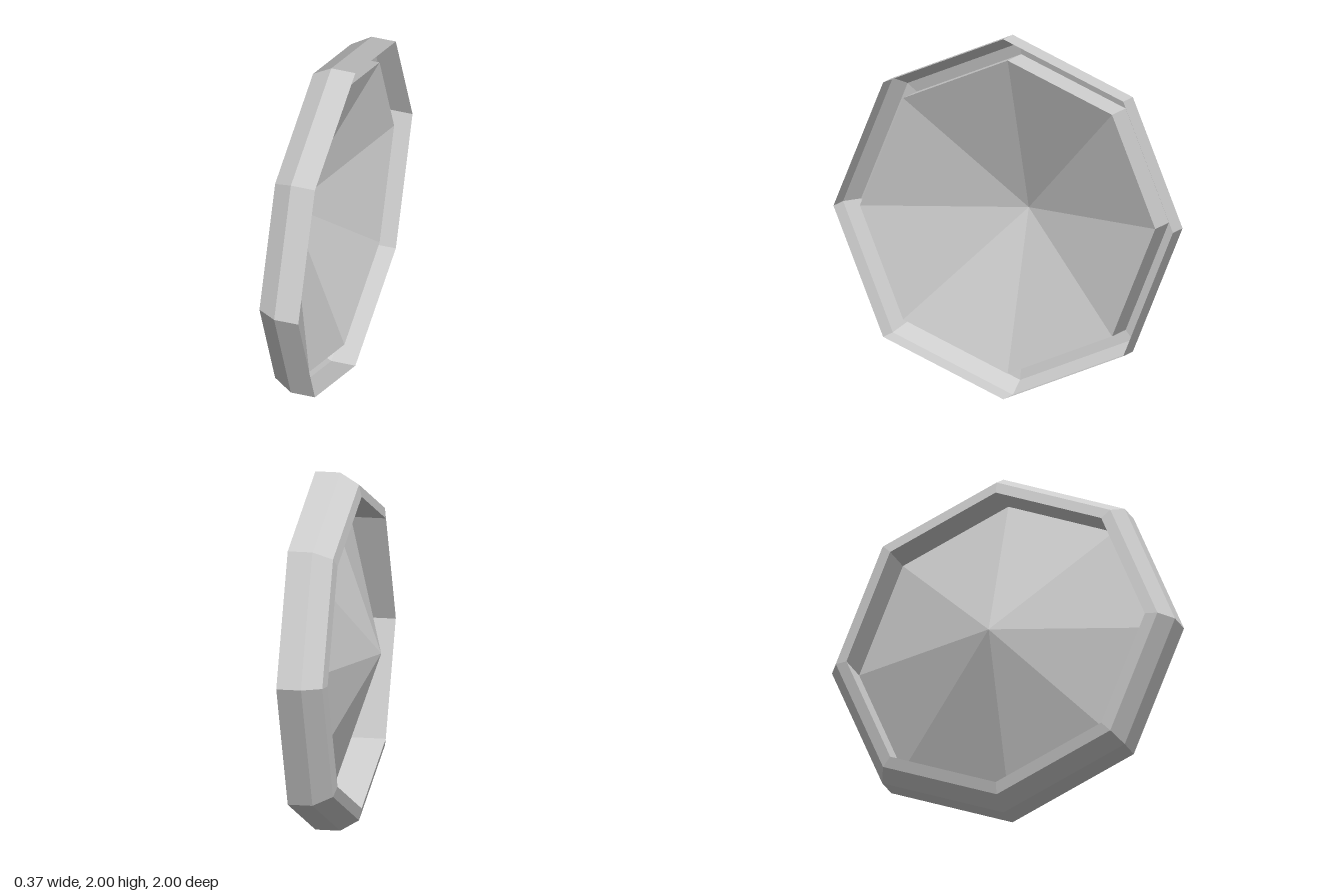
import * as THREE from 'three';

const SIDES = 8;

// Eight-sided open shell turned about the x axis from [x, radius] points.
function turned(name, profile, material) {
  const points = profile.map(([x, r]) => new THREE.Vector2(r, x));
  const geometry = new THREE.LatheGeometry(points, SIDES);
  geometry.rotateZ(-Math.PI / 2);
  const mesh = new THREE.Mesh(geometry, material);
  mesh.name = name;
  mesh.position.y = 1;
  return mesh;
}

export function createModel() {
  const group = new THREE.Group();
  group.name = 'octagonalDish';
  const material = new THREE.MeshStandardMaterial({
    color: 0xcccccc,
    flatShading: true,
    side: THREE.DoubleSide,
  });

  // Thin outer rim with a bevel and a shallow back lip
  group.add(turned('outerRim', [[-0.075, 0.87], [-0.06, 0.937], [0.045, 1], [0.183, 1]], material));

  // Straight collar from the lip forward to the edge of the dish
  group.add(turned('innerCollar', [[-0.075, 0.87], [0.12, 0.87]], material));

  // Faceted cone dish, its tip poking out behind the rim
  group.add(turned('coneDish', [[-0.184, 0], [0.12, 0.87]], material));

  return group;
}
